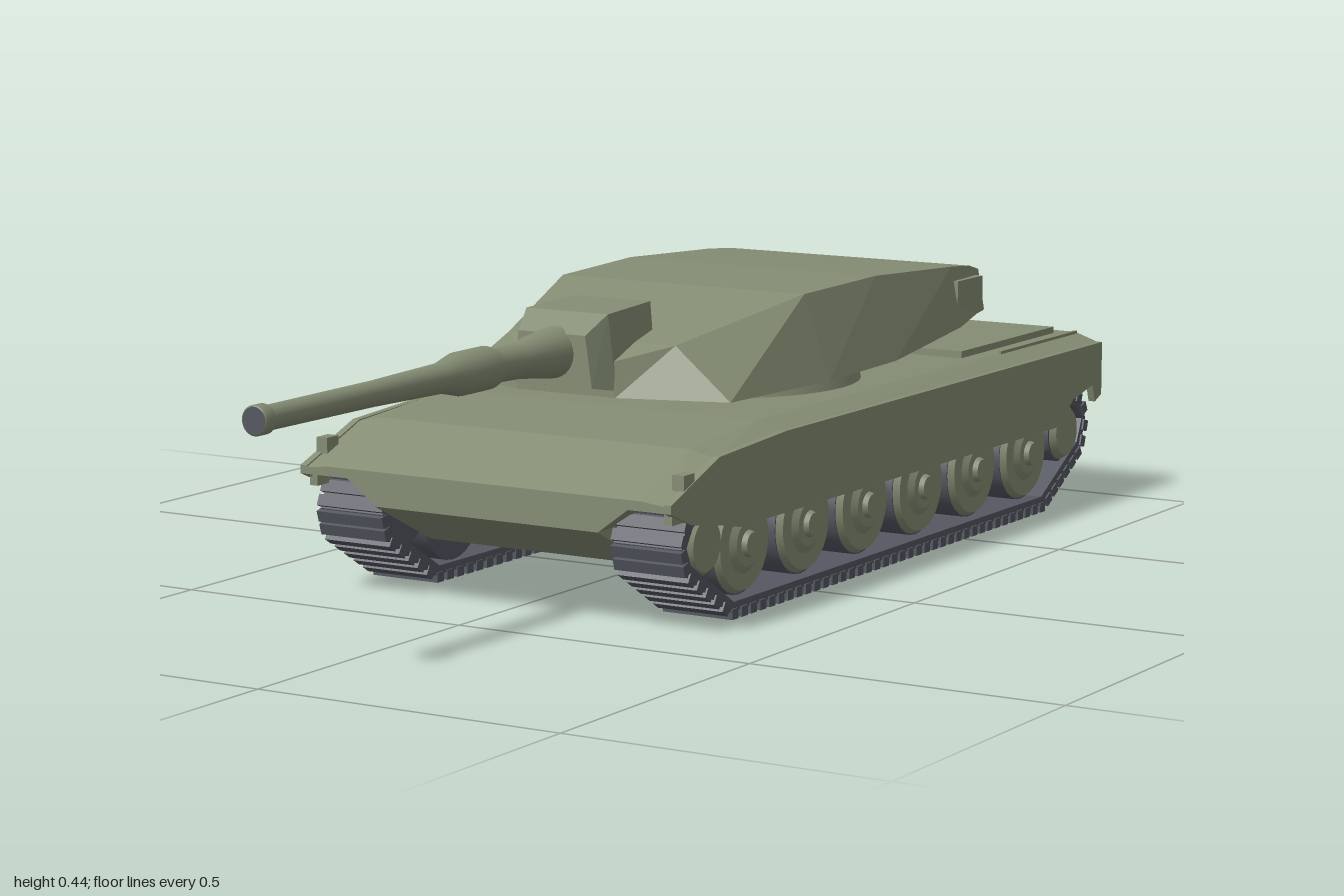
import * as THREE from 'three';

export function createModel() {
  const model = new THREE.Group();
  const material = (name, color) => {
    const m = new THREE.MeshStandardMaterial({ color });
    m.name = name;
    return m;
  };
  const green = material('olive paint', 0x858d74);
  const grey = material('track steel', 0x565862);

  const add = (name, geo, mat, x = 0, y = 0, z = 0, parent = model) => {
    const mesh = new THREE.Mesh(geo, mat);
    mesh.name = name;
    mesh.position.set(x, y, z);
    parent.add(mesh);
    return mesh;
  };

  // Faceted solid from mirrored cross-sections, front to back.
  // Each section is [z, [x, y], ...], its half outline running bottom to top.
  const loft = (sections) => {
    const rings = sections.map(([z, ...half]) => [
      ...half.map(([x, y]) => [x, y, z]),
      ...half.slice().reverse().map(([x, y]) => [-x, y, z]),
    ]);
    const pos = [];
    const n = rings[0].length;
    const tri = (a, b, c) => pos.push(...a, ...b, ...c);
    for (let r = 0; r < rings.length - 1; r++) {
      const A = rings[r], B = rings[r + 1];
      for (let i = 0; i < n; i++) {
        const j = (i + 1) % n;
        tri(A[i], B[i], B[j]);
        tri(A[i], B[j], A[j]);
      }
    }
    const F = rings[0], R = rings[rings.length - 1];
    for (let i = 1; i < n - 1; i++) {
      tri(F[0], F[i], F[i + 1]);
      tri(R[0], R[i + 1], R[i]);
    }
    const geo = new THREE.BufferGeometry();
    geo.setAttribute('position', new THREE.Float32BufferAttribute(pos, 3));
    geo.computeVertexNormals();
    return geo;
  };

  // Extrudes a (z, y) outline across x, ending at x = right
  const sidePlate = (points, right, depth, hole) => {
    const shape = new THREE.Shape(points.map((p) => new THREE.Vector2(...p)));
    if (hole) shape.holes.push(new THREE.Path(hole.map((p) => new THREE.Vector2(...p))));
    const geo = new THREE.ExtrudeGeometry(shape, { depth, bevelEnabled: false });
    return geo.rotateY(-Math.PI / 2).translate(right, 0, 0);
  };
  const axle = (rOuter, rInner, width, side, seg = 28) =>
    new THREE.CylinderGeometry(rOuter, rInner, width, seg).rotateZ(-side * Math.PI / 2);

  // Upper hull with bevelled shoulders
  const upper = (z, low, shoulder, top) => [z, [0.325, low], [0.325, shoulder], [0.28, top]];
  add('upperHull', loft([
    upper(0.44, 0.19, 0.2, 0.205),
    upper(0.3, 0.195, 0.252, 0.262),
    upper(0.1, 0.195, 0.265, 0.278),
    upper(-0.88, 0.195, 0.265, 0.28),
    upper(-0.93, 0.235, 0.265, 0.28),
    upper(-1, 0.245, 0.265, 0.28),
  ]), green);

  // Lower hull with sloped nose, belly and rear plate
  const lower = (z, belly, top) => [z, [0.2, belly], [0.2, 0.15], [0.255, 0.19], [0.255, top]];
  add('lowerHull', loft([
    lower(0.43, 0.149, 0.195),
    lower(0.28, 0.075, 0.25),
    lower(-0.82, 0.075, 0.27),
    lower(-0.988, 0.128, 0.27),
  ]), green);
  add('engineDeck', new THREE.BoxGeometry(0.51, 0.014, 0.345), green, 0, 0.284, -0.793);

  // Belt outline in (z, y)
  const belt = [
    [0.26, 0.012], [0.385, 0.088], [0.398, 0.13], [0.38, 0.172], [0.33, 0.19],
    [-0.89, 0.19], [-0.935, 0.175], [-0.952, 0.14], [-0.935, 0.088], [-0.8, 0.012],
  ];
  const inner = belt.map(([z, y]) => [
    z + (z > 0 ? -0.014 : 0.014), y + (y < 0.1 ? 0.014 : y > 0.15 ? -0.014 : 0),
  ]);
  const skirt = [
    [0.44, 0.19], [0.44, 0.203], [0.3, 0.255], [0.1, 0.266], [-1, 0.266], [-1, 0.175],
    [-0.975, 0.165], [-0.965, 0.195], [-0.89, 0.18], [-0.84, 0.14], [0.24, 0.14],
    [0.3, 0.152], [0.38, 0.165],
  ];

  for (const s of [1, -1]) {
    const running = new THREE.Group();
    running.name = s > 0 ? 'leftRunningGear' : 'rightRunningGear';
    model.add(running);

    add('sideSkirt', sidePlate(skirt, s > 0 ? 0.332 : -0.32, 0.012), green, 0, 0, 0, running);
    add('trackBelt', sidePlate(belt, s > 0 ? 0.325 : -0.208, 0.117, inner), grey, 0, 0, 0, running);

    // Track cleats along every straight of the belt
    belt.forEach(([z0, y0], i) => {
      const [z1, y1] = belt[(i + 1) % belt.length];
      const len = Math.hypot(z1 - z0, y1 - y0);
      const count = Math.max(1, Math.round(len / 0.028));
      for (let k = 0; k < count; k++) {
        const t = (k + 0.5) / count;
        const cleat = add('trackCleat', new THREE.BoxGeometry(0.122, 0.016, 0.018), grey,
          s * 0.267, y0 + (y1 - y0) * t - (y0 + y1 < 0.05 ? 0.004 : 0), z0 + (z1 - z0) * t, running);
        cleat.rotation.x = -Math.atan2(y1 - y0, z1 - z0);
      }
    });

    // Road wheels: tyre, dished face and hub
    for (let i = 0; i < 6; i++) {
      const z = 0.198 - i * 0.1885;
      add('tyre', axle(0.08, 0.08, 0.09, s), grey, s * 0.26, 0.107, z, running);
      add('wheelRim', axle(0.072, 0.079, 0.012, s), green, s * 0.309, 0.107, z, running);
      add('wheelDish', axle(0.035, 0.048, 0.008, s), green, s * 0.318, 0.107, z, running);
      add('wheelHub', axle(0.018, 0.022, 0.01, s, 16), green, s * 0.325, 0.107, z, running);
    }
    // Front idler and rear sprocket
    for (const [name, z] of [['idler', 0.325], ['sprocket', -0.88]]) {
      add(name, axle(0.052, 0.052, 0.1, s), grey, s * 0.265, 0.125, z, running);
      add(name + 'Face', axle(0.04, 0.048, 0.01, s), green, s * 0.32, 0.125, z, running);
    }

    // Front lamps, tow brackets and rear lamps
    add('headlamp', new THREE.BoxGeometry(0.02, 0.028, 0.03), green, s * 0.32, 0.227, 0.385, running);
    add('towBracket', new THREE.BoxGeometry(0.014, 0.02, 0.03), green, s * 0.318, 0.18, 0.41, running);
    add('rearLamp', new THREE.BoxGeometry(0.03, 0.02, 0.02), green, s * 0.29, 0.237, -0.985, running);
    add('deckRail', new THREE.BoxGeometry(0.006, 0.006, 0.29), green, s * 0.283, 0.28, -0.85, running);
  }

  // Turret ring
  add('turretRing', new THREE.CylinderGeometry(0.228, 0.238, 0.035, 48), green, 0, 0.293, -0.245);

  // Turret shell
  const slab = (z, wLow, yLow, wTop, yTop) => [z, [wLow, yLow], [wTop, yTop]];
  add('turret', loft([
    slab(0.205, 0.09, 0.31, 0.075, 0.362),
    slab(0.13, 0.25, 0.306, 0.152, 0.386),
    slab(-0.14, 0.272, 0.306, 0.225, 0.44),
    slab(-0.36, 0.272, 0.31, 0.232, 0.445),
    slab(-0.62, 0.254, 0.332, 0.234, 0.432),
    slab(-0.69, 0.246, 0.345, 0.232, 0.426),
    slab(-0.73, 0.24, 0.348, 0.228, 0.416),
  ]), green);
  for (const s of [1, -1])
    add('bustleBox', new THREE.BoxGeometry(0.016, 0.06, 0.09), green, s * 0.239, 0.378, -0.665);

  // Gun mantlet
  add('mantlet', loft([
    slab(0.243, 0.072, 0.328, 0.06, 0.408),
    slab(0.2, 0.089, 0.32, 0.074, 0.437),
    slab(0.07, 0.08, 0.325, 0.07, 0.442),
  ]), green);

  // Gun barrel with sleeve, bore evacuator and muzzle collar
  const profile = [
    [0.04, 0.22], [0.039, 0.25], [0.028, 0.34], [0.026, 0.4], [0.033, 0.425], [0.033, 0.5],
    [0.023, 0.545], [0.019, 0.72], [0.018, 0.975], [0.022, 0.978], [0.022, 0.998], [0.02, 1],
  ].map((p) => new THREE.Vector2(...p));
  add('gunBarrel', new THREE.LatheGeometry(profile, 28).rotateX(Math.PI / 2), green, 0, 0.378, 0);
  add('gunBore', new THREE.CircleGeometry(0.02, 28), grey, 0, 0.378, 1);

  return model;
}
